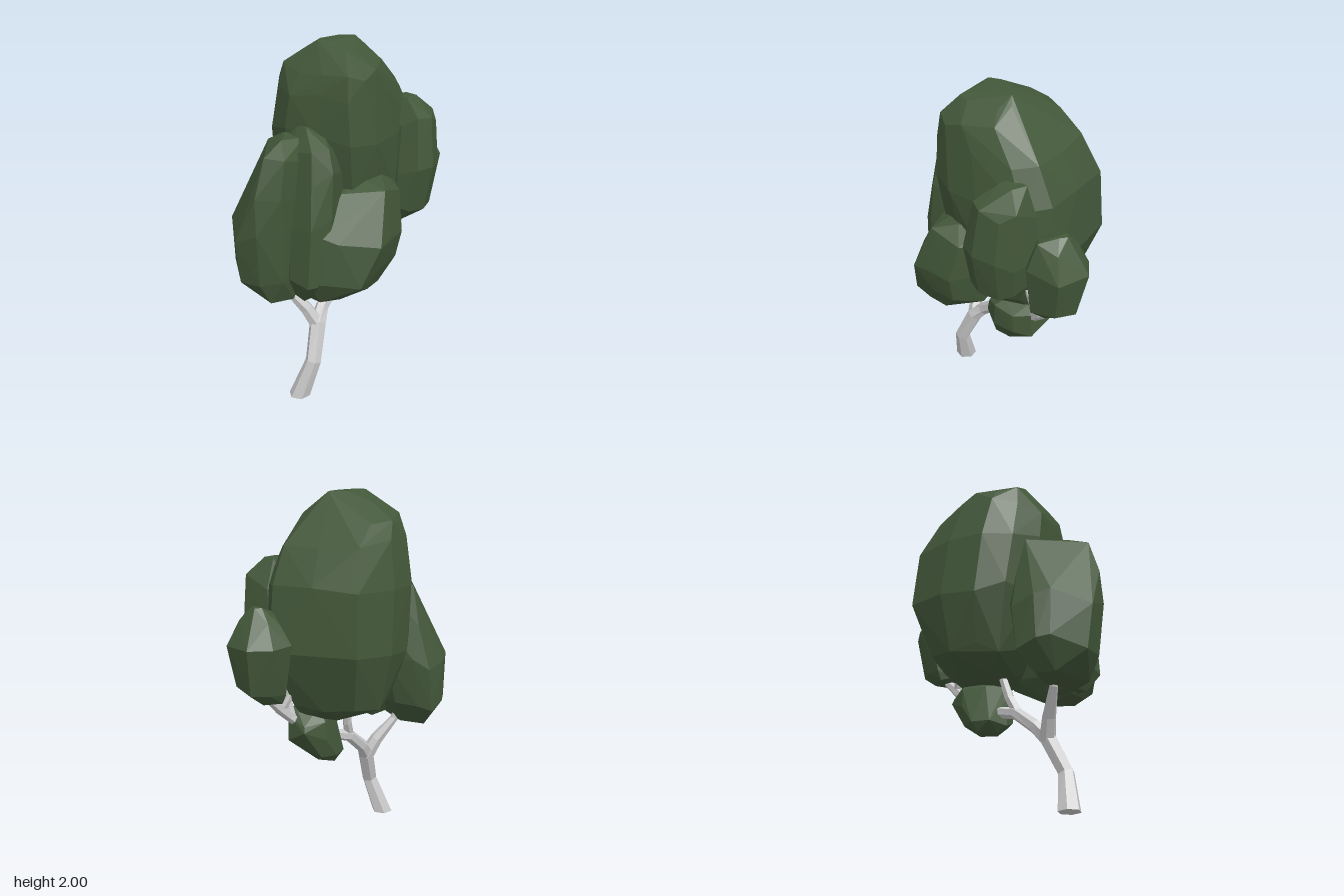
import * as THREE from 'three';
import { ConvexGeometry } from 'three/addons/geometries/ConvexGeometry.js';

const bark = new THREE.MeshStandardMaterial({ color: 0xcccccc, flatShading: true });
const leaf = new THREE.MeshStandardMaterial({ color: 0x43583a, flatShading: true });

function seeded(seed) {
  let s = seed;
  return () => (s = (s * 16807) % 2147483647) / 2147483647;
}

// Tapered six-sided limb through points [x, y, z, radius]
function limb(name, pts) {
  const n = pts.length;
  const P = pts.map(p => new THREE.Vector3(p[0], p[1], p[2]));
  const up = new THREE.Vector3(0, 1, 0);
  const Q = P.map((p, i) => {
    const dir = P[Math.min(i + 1, n - 1)].clone().sub(P[Math.max(i - 1, 0)]).normalize();
    if (p.y === 0) dir.copy(up); // flat cut on the ground
    return new THREE.Quaternion().setFromUnitVectors(up, dir);
  });
  const geo = new THREE.CylinderGeometry(1, 1, 1, 6, n - 1);
  const pos = geo.attributes.position;
  const v = new THREE.Vector3();
  for (let k = 0; k < pos.count; k++) {
    v.fromBufferAttribute(pos, k);
    const i = Math.round((v.y + 0.5) * (n - 1));
    v.setY(0).multiplyScalar(pts[i][3]).applyQuaternion(Q[i]).add(P[i]);
    pos.setXYZ(k, v.x, v.y, v.z);
  }
  geo.computeVertexNormals();
  const mesh = new THREE.Mesh(geo, bark);
  mesh.name = name;
  return mesh;
}

// Faceted leaf clump: an outline [x, z] fitted into levels [y, x0, x1, z0, z1],
// where a level may bring its own outline
function clump(name, seed, outline, levels) {
  const rand = seeded(seed);
  const points = [];
  levels.forEach(([y, x0, x1, z0, z1, shape = outline], l) => {
    const xs = shape.map(p => p[0]), zs = shape.map(p => p[1]);
    const [ax, bx, az, bz] = [Math.min(...xs), Math.max(...xs), Math.min(...zs), Math.max(...zs)];
    const end = l === 0 || l === levels.length - 1;
    shape.forEach(([x, z], i) => {
      if (end && i % 2) return;
      const u = (x - ax) / (bx - ax), w = (z - az) / (bz - az);
      const k = 1.02 - 0.06 * rand();
      points.push(new THREE.Vector3(
        THREE.MathUtils.lerp(x0, x1, 0.5 + (u - 0.5) * k),
        y + (end ? 0 : (rand() - 0.5) * 0.07),
        THREE.MathUtils.lerp(z0, z1, 0.5 + (w - 0.5) * k)));
    });
  });
  const mesh = new THREE.Mesh(new ConvexGeometry(points), leaf);
  mesh.name = name;
  return mesh;
}

export function createModel() {
  const tree = new THREE.Group();
  tree.name = 'tree';

  // Leaning trunk and its branches
  tree.add(
    limb('trunk', [[0.045, 0, 0.39, 0.062], [0.1, 0.22, 0.33, 0.045], [0.05, 0.42, 0.25, 0.048],
      [0.02, 0.49, 0.19, 0.038], [0, 0.59, 0.07, 0.035], [0, 0.64, -0.1, 0.03],
      [0, 0.77, -0.32, 0.03], [0.01, 0.86, -0.42, 0.032], [0, 0.95, -0.52, 0.02]]),
    limb('frontBranch', [[0.05, 0.4, 0.25, 0.046], [0.01, 0.51, 0.3, 0.038],
      [-0.05, 0.64, 0.39, 0.024], [-0.08, 0.8, 0.42, 0.018]]),
    limb('crownBranch', [[0.01, 0.58, 0.08, 0.032], [-0.02, 0.68, 0.04, 0.027], [-0.05, 0.85, 0, 0.022]]),
    limb('backBranch', [[0, 0.79, -0.35, 0.03], [0.02, 0.89, -0.36, 0.026], [0.07, 1.06, -0.34, 0.018]]),
    limb('backTwig', [[0.01, 0.85, -0.41, 0.026], [-0.02, 0.92, -0.38, 0.02], [-0.05, 1.02, -0.35, 0.014]]),
  );

  // Large central crown
  tree.add(clump('crown', 11,
    [[-0.02, -0.5], [-0.24, -0.4], [-0.46, -0.28], [-0.48, -0.03], [-0.4, 0.17], [-0.28, 0.3],
      [-0.1, 0.35], [0.09, 0.29], [0.28, 0.21], [0.29, 0.03], [0.25, -0.16], [0.12, -0.42]],
    [[0.79, -0.2, 0.12, -0.28, 0.1], [0.88, -0.38, 0.2, -0.36, 0.2], [1.2, -0.48, 0.28, -0.5, 0.32],
      [1.52, -0.46, 0.3, -0.48, 0.36], [1.74, -0.38, 0.28, -0.37, 0.34],
      [1.86, -0.34, 0.27, -0.19, 0.29], [1.95, -0.2, 0.17, -0.12, 0.19], [2, -0.07, 0.04, -0.08, 0.17]]));

  // Front clump, its upper front corner cut away diagonally
  const ridge = [[-0.2, 0.37], [-0.06, 0.46], [0.05, 0.59], [0.12, 0.52], [0.11, 0.36], [-0.1, 0.28]];
  tree.add(clump('frontClump', 23,
    [[-0.34, 0.37], [-0.32, 0.5], [-0.27, 0.57], [-0.08, 0.69], [0.06, 0.65], [0.13, 0.52],
      [0.12, 0.35], [0.03, 0.26], [-0.15, 0.22], [-0.28, 0.3]],
    [[0.64, -0.24, 0.08, 0.38, 0.58], [0.78, -0.34, 0.1, 0.28, 0.67], [1.03, -0.34, 0.12, 0.22, 0.7],
      [1.25, -0.28, 0.13, 0.22, 0.65, ridge], [1.44, -0.22, 0.12, 0.26, 0.59, ridge],
      [1.53, -0.1, 0.06, 0.28, 0.46, ridge]]));

  // Lobe bridging the front clump and the crown
  tree.add(clump('frontLobe', 29,
    [[-0.08, 0.2], [0.08, 0.14], [0.22, 0.2], [0.28, 0.34], [0.24, 0.45], [0.1, 0.48],
      [-0.04, 0.42], [-0.1, 0.3]],
    [[0.66, 0.02, 0.18, 0.24, 0.46], [0.8, -0.06, 0.27, 0.18, 0.5], [1.1, -0.1, 0.28, 0.14, 0.48],
      [1.35, -0.14, 0.27, 0.14, 0.44], [1.48, -0.14, 0.23, 0.16, 0.42], [1.58, -0.04, 0.08, 0.2, 0.34]]));

  // Low clump on the left side
  tree.add(clump('leftClump', 37,
    [[0.22, -0.17], [0.38, -0.08], [0.43, 0.08], [0.47, 0.2], [0.32, 0.38], [0.25, 0.45],
      [0.08, 0.4], [0, 0.2], [0.05, -0.05]],
    [[0.65, 0.08, 0.28, 0.18, 0.4], [0.75, 0, 0.42, 0, 0.45], [0.85, 0, 0.44, -0.14, 0.43],
      [1.02, 0, 0.48, -0.16, 0.4], [1.24, 0.05, 0.4, -0.16, 0.24], [1.3, 0.1, 0.3, -0.11, 0.13]]));

  // Tall narrow clump at the back left
  tree.add(clump('backLeftClump', 41,
    [[0.05, -0.45], [0.22, -0.49], [0.3, -0.43], [0.37, -0.31], [0.35, -0.2], [0.25, -0.15],
      [0.08, -0.18], [0.02, -0.3]],
    [[0.98, 0.08, 0.25, -0.36, -0.18], [1.06, 0.05, 0.33, -0.47, -0.15], [1.28, 0.03, 0.38, -0.49, -0.16],
      [1.54, 0.04, 0.34, -0.48, -0.2], [1.66, 0.08, 0.2, -0.4, -0.27]]));

  // Small clump at the far back
  tree.add(clump('backClump', 53,
    [[-0.08, -0.69], [0.09, -0.69], [0.1, -0.6], [0.17, -0.53], [0.12, -0.46], [-0.02, -0.44],
      [-0.16, -0.48], [-0.15, -0.59]],
    [[0.92, -0.08, 0.1, -0.56, -0.45], [0.98, -0.11, 0.14, -0.65, -0.43], [1.25, -0.17, 0.18, -0.69, -0.42],
      [1.38, -0.11, 0.12, -0.63, -0.47], [1.44, -0.04, 0.04, -0.59, -0.55]]));

  // Small clump hanging under the crown
  tree.add(clump('lowClump', 67,
    [[0.02, -0.35], [0.1, -0.28], [0.15, -0.15], [0.13, -0.05], [0.05, -0.02], [-0.08, -0.06],
      [-0.14, -0.2], [-0.1, -0.33]],
    [[0.51, -0.1, 0.04, -0.18, -0.06], [0.56, -0.14, 0.11, -0.24, -0.02], [0.69, -0.14, 0.16, -0.36, -0.04],
      [0.79, -0.13, 0.16, -0.35, -0.06], [0.85, -0.08, 0.1, -0.31, -0.12]]));

  return tree;
}
